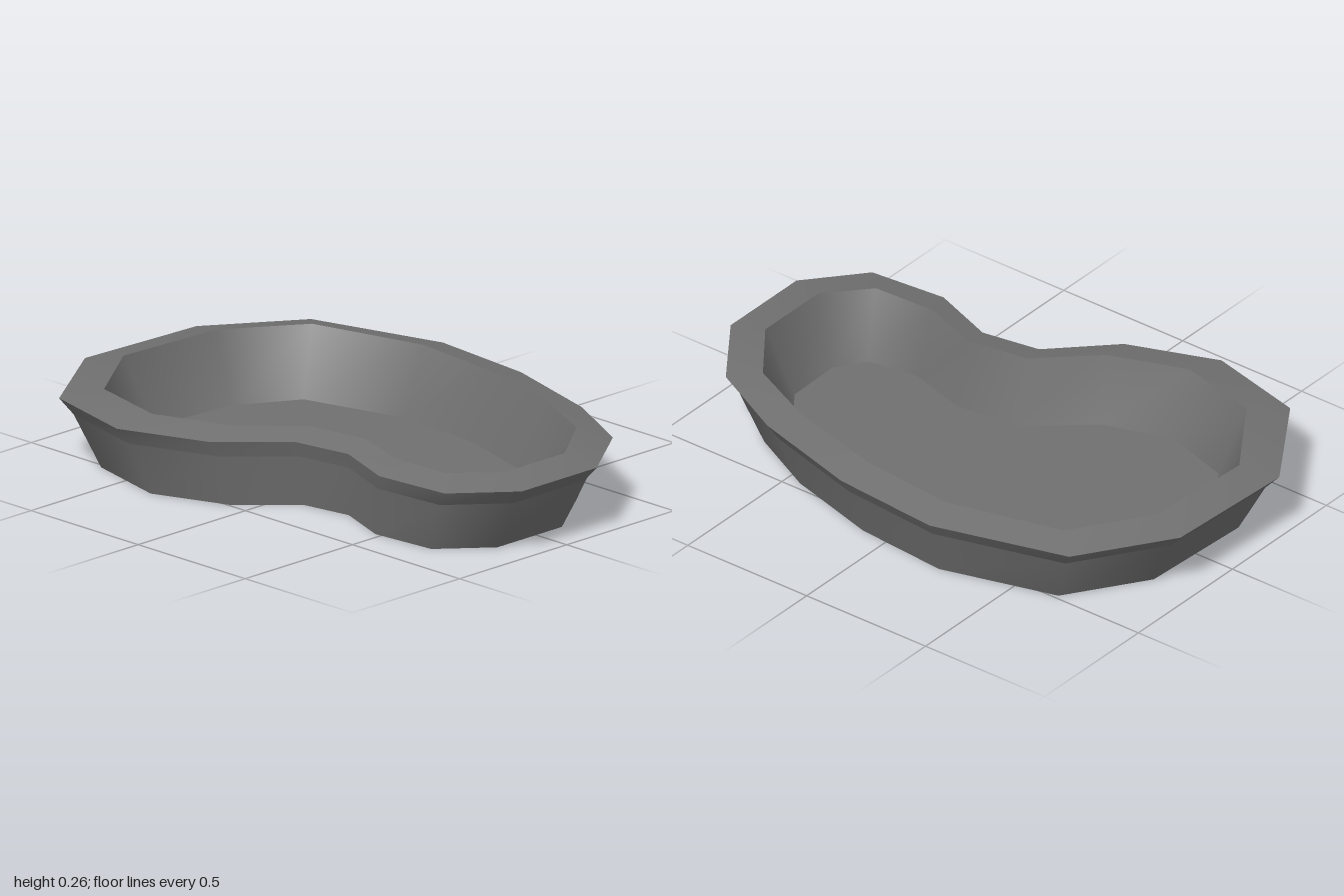
import * as THREE from 'three';

// Plan outlines [x, z], all with matching corners
const OUTER = [
  [-0.76, -0.565], [-0.28, -0.7], [0.12, -0.665], [0.52, -0.55], [0.815, -0.4], [1, -0.14],
  [1, 0.21], [0.835, 0.405], [0.555, 0.43], [0.32, 0.34], [0.11, 0.375], [-0.09, 0.575],
  [-0.405, 0.695], [-0.765, 0.605], [-1, 0.25], [-0.975, -0.245],
];
const INNER = [
  [-0.67, -0.48], [-0.255, -0.585], [0.105, -0.55], [0.455, -0.455], [0.71, -0.335], [0.87, -0.12],
  [0.87, 0.16], [0.74, 0.305], [0.51, 0.315], [0.3, 0.24], [0.08, 0.275], [-0.11, 0.455],
  [-0.38, 0.555], [-0.675, 0.485], [-0.875, 0.195], [-0.85, -0.215],
];
const FLOOR = [
  [-0.62, -0.39], [-0.25, -0.49], [0.09, -0.47], [0.43, -0.37], [0.655, -0.25], [0.77, -0.09],
  [0.775, 0.115], [0.705, 0.22], [0.525, 0.25], [0.3, 0.185], [0.06, 0.22], [-0.14, 0.395],
  [-0.385, 0.47], [-0.63, 0.395], [-0.77, 0.155], [-0.745, -0.175],
];

const ring = (outline, y, s = 1) => outline.map(([x, z]) => [x * s, y, z * s]);

// Closed strip between two rings, smooth along its length
function band(a, b) {
  const n = a.length, index = [];
  for (let i = 0; i < n; i++) {
    const j = (i + 1) % n;
    index.push(i, n + i, j, j, n + i, n + j);
  }
  const g = new THREE.BufferGeometry();
  g.setAttribute('position', new THREE.Float32BufferAttribute([...a, ...b].flat(), 3));
  g.setIndex(index);
  g.computeVertexNormals();
  return g;
}

// Flat cap filling a ring, facing up (dir 1) or down (dir -1)
function cap(points, dir) {
  const shape = new THREE.Shape(points.map(([x, , z]) => new THREE.Vector2(x, -dir * z)));
  return new THREE.ShapeGeometry(shape).rotateX(-dir * Math.PI / 2).translate(0, points[0][1], 0);
}

export function createModel() {
  const group = new THREE.Group();
  group.name = 'kidneyBasin';
  const stone = new THREE.MeshStandardMaterial({ color: 0x707070 });
  stone.name = 'grey';

  const base = ring(OUTER, 0, 0.857);
  const neck = ring(OUTER, 0.18, 0.95);
  const rimOuter = ring(OUTER, 0.235);
  const rimInner = ring(INNER, 0.26);
  const floor = ring(FLOOR, 0.03);

  const parts = {
    underside: cap(base, -1),
    outerWall: band(base, neck),
    lipUnderside: band(neck, rimOuter),
    rim: band(rimOuter, rimInner),
    innerWall: band(rimInner, floor),
    basinFloor: cap(floor, 1),
  };
  for (const [name, geometry] of Object.entries(parts)) {
    const mesh = new THREE.Mesh(geometry, stone);
    mesh.name = name;
    group.add(mesh);
  }
  return group;
}
